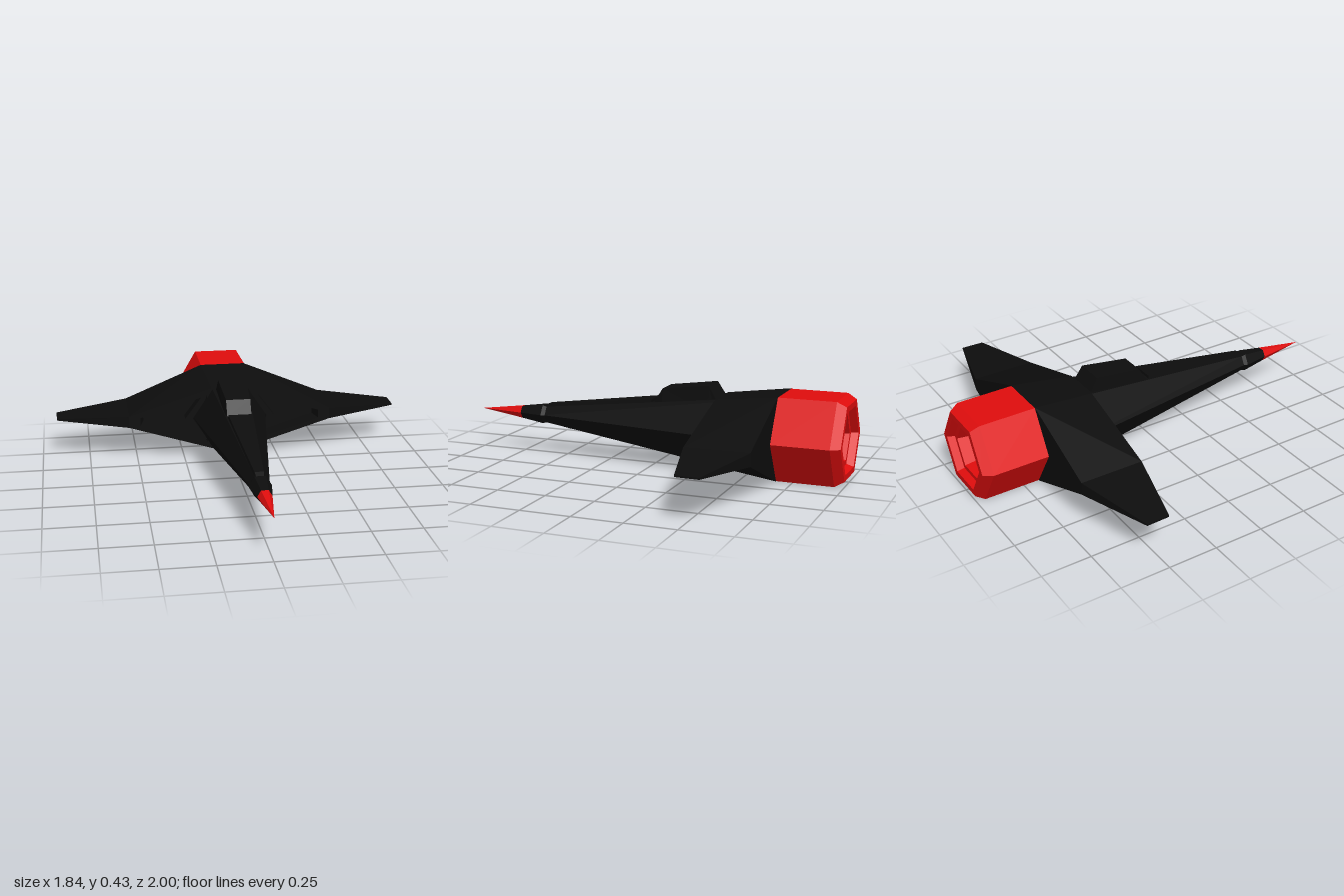
import * as THREE from 'three';

const MID = 0.207; // height of the long axis

// Faceted geometry from a flat list of triangle corners
function fromCorners(corners) {
  const g = new THREE.BufferGeometry();
  g.setAttribute('position', new THREE.Float32BufferAttribute(corners.flat(), 3));
  g.computeVertexNormals();
  return g;
}

const quad = (out, a, b, c, d) => out.push(a, b, c, a, c, d);

// Joins four-cornered rings, each counterclockwise seen from the far end
function loft(rings, { startCap = true, skip = () => false } = {}) {
  const out = [];
  for (let i = 0; i < rings.length - 1; i++) {
    const p = rings[i], q = rings[i + 1];
    for (let j = 0; j < 4; j++) {
      const k = (j + 1) % 4;
      if (!skip(i, j)) quad(out, p[j], p[k], q[k], q[j]);
    }
  }
  if (startCap) quad(out, ...[...rings[0]].reverse());
  quad(out, ...rings[rings.length - 1]);
  return out;
}

// Reflects triangles across x = 0 and restores their winding
function mirror(corners) {
  const out = [];
  for (let i = 0; i < corners.length; i += 3) {
    for (const j of [0, 2, 1]) {
      const [x, y, z] = corners[i + j];
      out.push([-x, y, z]);
    }
  }
  return out;
}

// Six-sided turned body along z; profile is [radius, z]
function hexBody(profile) {
  const pts = profile.map(([r, z]) => new THREE.Vector2(r, z));
  const g = new THREE.LatheGeometry(pts, 6, Math.PI / 2).rotateX(Math.PI / 2);
  const flat = g.translate(0, MID, 0).toNonIndexed();
  flat.computeVertexNormals();
  return flat;
}

// Trapezoid ring across the hull
const section = (z, base, top, low, high) => [
  [base, low, z], [top, high, z], [-top, high, z], [-base, low, z],
];

export function createModel() {
  const model = new THREE.Group();
  model.name = 'dartShip';
  const black = new THREE.MeshStandardMaterial({ color: 0x0d0d0d });
  black.name = 'hull black';
  const red = new THREE.MeshStandardMaterial({ color: 0xe00d0d });
  red.name = 'signal red';

  const add = (name, geometry, material) => {
    const mesh = new THREE.Mesh(geometry, material);
    mesh.name = name;
    model.add(mesh);
  };

  // Hull, nose collar and pointed tip
  add('fuselage', hexBody([[0, -0.67], [0.237, -0.67], [0.047, 0.62], [0, 0.62]]), black);
  add('noseCollar', hexBody([[0, 0.6], [0.046, 0.6], [0.055, 0.63], [0.035, 0.757], [0, 0.757]]), black);
  add('noseTip', hexBody([[0, 0.757], [0.035, 0.757], [0, 1]]), red);

  // Engine with bevelled lip, stepped rim and hollow nozzle
  add('engine', hexBody([
    [0, -0.72], [0.085, -0.72], [0.135, -0.965], [0.16, -0.965], [0.175, -1],
    [0.208, -1], [0.237, -0.955], [0.237, -0.67], [0, -0.67],
  ]), red);

  // Raised spine and canopy
  add('spine', fromCorners(loft([
    section(0, 0.066, 0.058, 0.3, 0.341),
    section(0.6, 0.03, 0.022, 0.23, 0.265),
    section(0.63, 0.026, 0.018, 0.23, 0.25),
  ])), black);
  add('canopy', fromCorners(loft([
    section(-0.345, 0.08, 0.076, 0.3, 0.37),
    section(-0.305, 0.08, 0.07, 0.3, 0.434),
    section(-0.06, 0.075, 0.062, 0.3, 0.402),
    section(-0.015, 0.07, 0.062, 0.3, 0.328),
  ])), black);

  // Wing stations from centre to tip: x, half height and z at the back and front edges
  const stations = [
    [0, 0.207, -0.67, 0, 0.168, -0.35],
    [0.12, 0.207, -0.67, 0.097, 0.168, -0.35],
    [0.54, 0.032, -0.67, 0.54, 0.03, -0.35],
    [0.92, 0.004, -0.565, 0.917, 0.004, -0.45],
  ].map(([xb, hb, zb, xf, hf, zf]) => [
    [xb, MID + hb, zb], [xf, MID + hf, zf], [xf, MID - hf, zf], [xb, MID - hb, zb],
  ]);
  const wing = loft(stations, { startCap: false, skip: (i, j) => i === 1 && j === 1 });

  // Recessed intake in the front of each wing
  const opening = (x0, h0, x1, h1, z) => [
    [x0, MID + h0, z], [x0, MID - h0, z], [x1, MID - h1, z], [x1, MID + h1, z],
  ];
  const intake = loft([
    opening(0.097, 0.168, 0.54, 0.03, -0.35),
    opening(0.125, 0.13, 0.48, 0.022, -0.35),
    opening(0.125, 0.125, 0.46, 0.02, -0.43),
  ], { startCap: false });

  // Chevron frame standing in the intake beside the hull
  const outline = [[0.15, 0.12], [0.12, 0.12], [0.2, 0], [0.12, -0.12], [0.15, -0.12], [0.24, 0]];
  const chevron = new THREE.ExtrudeGeometry(
    new THREE.Shape(outline.map(([x, y]) => new THREE.Vector2(x, y))),
    { depth: 0.065, bevelEnabled: false },
  ).translate(0, MID, -0.43);

  add('leftWing', fromCorners(wing), black);
  add('rightWing', fromCorners(mirror(wing)), black);
  add('leftIntake', fromCorners(intake), black);
  add('rightIntake', fromCorners(mirror(intake)), black);
  add('leftIntakeFrame', chevron, black);
  add('rightIntakeFrame', chevron.clone().rotateY(Math.PI).translate(0, 0, -0.795), black);

  return model;
}
